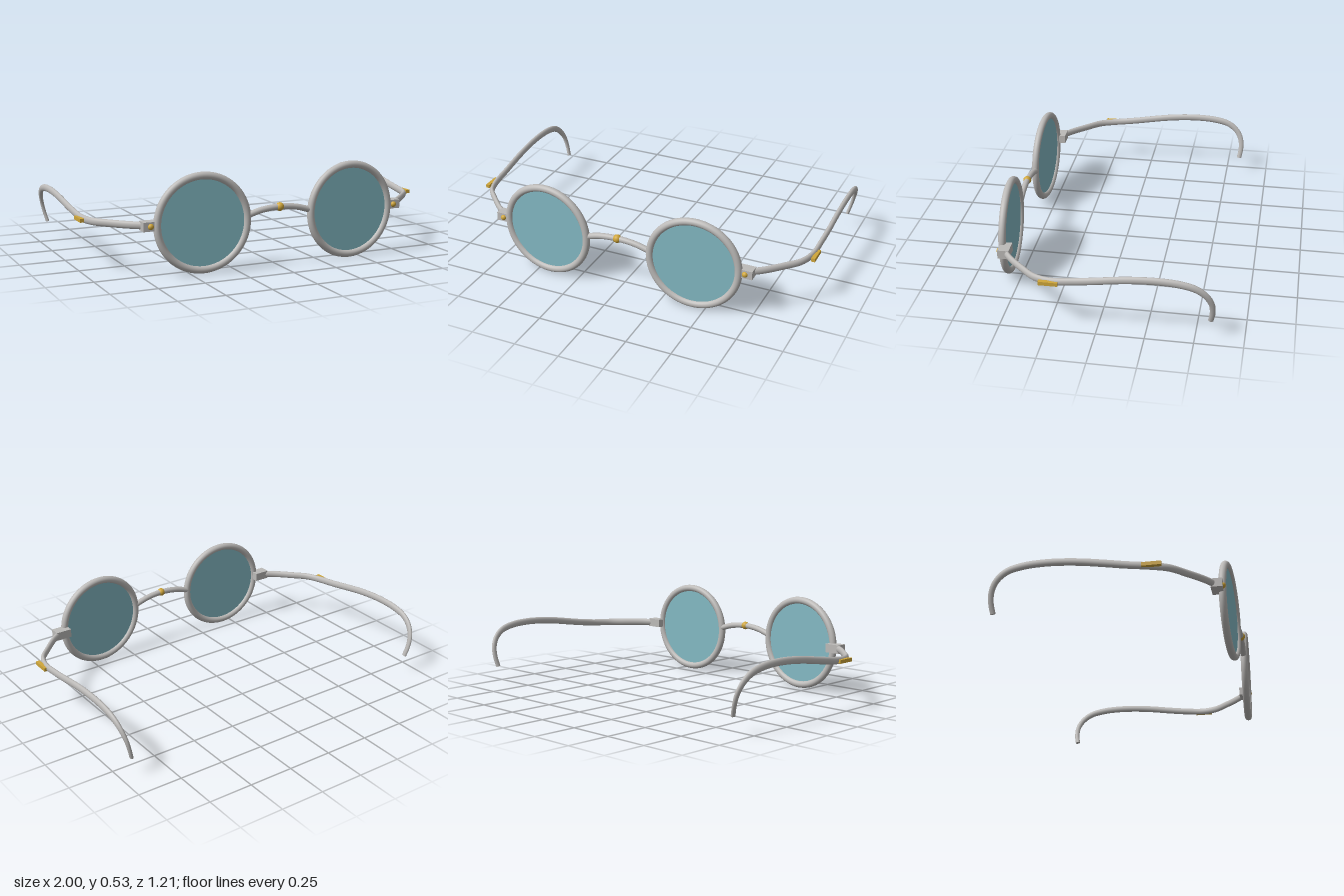
import * as THREE from 'three';

const metal = new THREE.MeshStandardMaterial({ color: 0xbcbab8 });
metal.name = 'silver metal';
const gold = new THREE.MeshStandardMaterial({ color: 0xcfa63a });
gold.name = 'gold';
const glass = new THREE.MeshStandardMaterial({ color: 0x83b9c3 });
glass.name = 'tinted glass';

function add(parent, name, geometry, material, x = 0, y = 0, z = 0) {
  const mesh = new THREE.Mesh(geometry, material);
  mesh.name = name;
  mesh.position.set(x, y, z);
  parent.add(mesh);
  return mesh;
}

// Sweeps a flat oval along a curve; size(t) gives [half width, half height].
function ovalSweep(curve, size, steps = 90, sides = 16) {
  const positions = [], index = [];
  const ring = (t, scale) => {
    const p = curve.getPointAt(t), T = curve.getTangentAt(t);
    const S = new THREE.Vector3(1, 0, 0).addScaledVector(T, -T.x).normalize();
    const B = new THREE.Vector3().crossVectors(T, S);
    const [w, h] = size(t);
    for (let j = 0; j < sides; j++) {
      const a = (j / sides) * Math.PI * 2;
      const v = p.clone()
        .addScaledVector(S, Math.cos(a) * w * scale)
        .addScaledVector(B, Math.sin(a) * h * scale);
      positions.push(v.x, v.y, v.z);
    }
  };
  // doubled end rings keep the caps crisp
  ring(0, 0.001);
  ring(0, 1);
  for (let i = 0; i <= steps; i++) ring(i / steps, 1);
  ring(1, 1);
  ring(1, 0.001);
  const rings = positions.length / 3 / sides;
  for (let i = 0; i < rings - 1; i++) {
    for (let j = 0; j < sides; j++) {
      const a = i * sides + j, b = i * sides + ((j + 1) % sides);
      index.push(a, b, a + sides, b, b + sides, a + sides);
    }
  }
  const g = new THREE.BufferGeometry();
  g.setAttribute('position', new THREE.Float32BufferAttribute(positions, 3));
  g.setIndex(index);
  g.computeVertexNormals();
  return g;
}

// Temple centre line: out from the hinge, back along the head, hooked at the ear
const templePath = [
  [0.73, 0.27, 0.525], [0.79, 0.27, 0.48], [0.87, 0.27, 0.4], [0.94, 0.271, 0.32],
  [0.97, 0.274, 0.23], [0.978, 0.288, 0.11], [0.983, 0.305, 0], [0.985, 0.322, -0.11],
  [0.986, 0.333, -0.22], [0.986, 0.336, -0.32], [0.985, 0.329, -0.42], [0.982, 0.308, -0.5],
  [0.974, 0.268, -0.552], [0.961, 0.215, -0.58], [0.946, 0.155, -0.585], [0.931, 0.1, -0.576],
];

function buildSide(s) {
  const side = new THREE.Group();
  side.name = s > 0 ? 'leftSide' : 'rightSide';

  // Lens in its round rim, turned slightly to wrap the face
  const eye = new THREE.Group();
  eye.name = 'eyepiece';
  eye.position.set(s * 0.433, 0.266, 0.567);
  eye.rotation.y = s * 0.05;
  add(eye, 'rim', new THREE.TorusGeometry(0.246, 0.02, 20, 80), metal);
  add(eye, 'lens', new THREE.CylinderGeometry(0.24, 0.24, 0.009, 64), glass).rotation.x = Math.PI / 2;
  side.add(eye);

  // Hinge block with its screw
  add(side, 'hinge', new THREE.BoxGeometry(0.09, 0.048, 0.06), metal, s * 0.71, 0.269, 0.532);
  add(side, 'hingeScrew', new THREE.SphereGeometry(0.016, 20, 14), gold, s * 0.715, 0.269, 0.56);

  // Temple arm, tapering towards the tip
  const curve = new THREE.CatmullRomCurve3(
    templePath.map(([x, y, z]) => new THREE.Vector3(s * x, y, z)));
  const size = (t) => {
    const k = THREE.MathUtils.smoothstep(t, 0.75, 1);
    return [0.0135 - 0.004 * k, 0.02 - 0.006 * k];
  };
  add(side, 'temple', ovalSweep(curve, size), metal);

  // Gold bar on the outside of the temple
  add(side, 'templeInlay', new THREE.BoxGeometry(0.022, 0.02, 0.1), gold, s * 0.989, 0.273, 0.24);
  return side;
}

export function createModel() {
  const model = new THREE.Group();
  model.name = 'spectacles';
  for (const s of [1, -1]) model.add(buildSide(s));

  // Arched bridge with a bead at its crown
  const arch = new THREE.CatmullRomCurve3([
    [-0.19, 0.284, 0.576], [-0.1, 0.309, 0.579], [0, 0.318, 0.581],
    [0.1, 0.309, 0.579], [0.19, 0.284, 0.576],
  ].map((p) => new THREE.Vector3(...p)));
  add(model, 'bridge', new THREE.TubeGeometry(arch, 40, 0.0165, 16), metal);
  add(model, 'bridgeBead', new THREE.SphereGeometry(0.023, 24, 16), gold, 0, 0.318, 0.582);
  return model;
}
